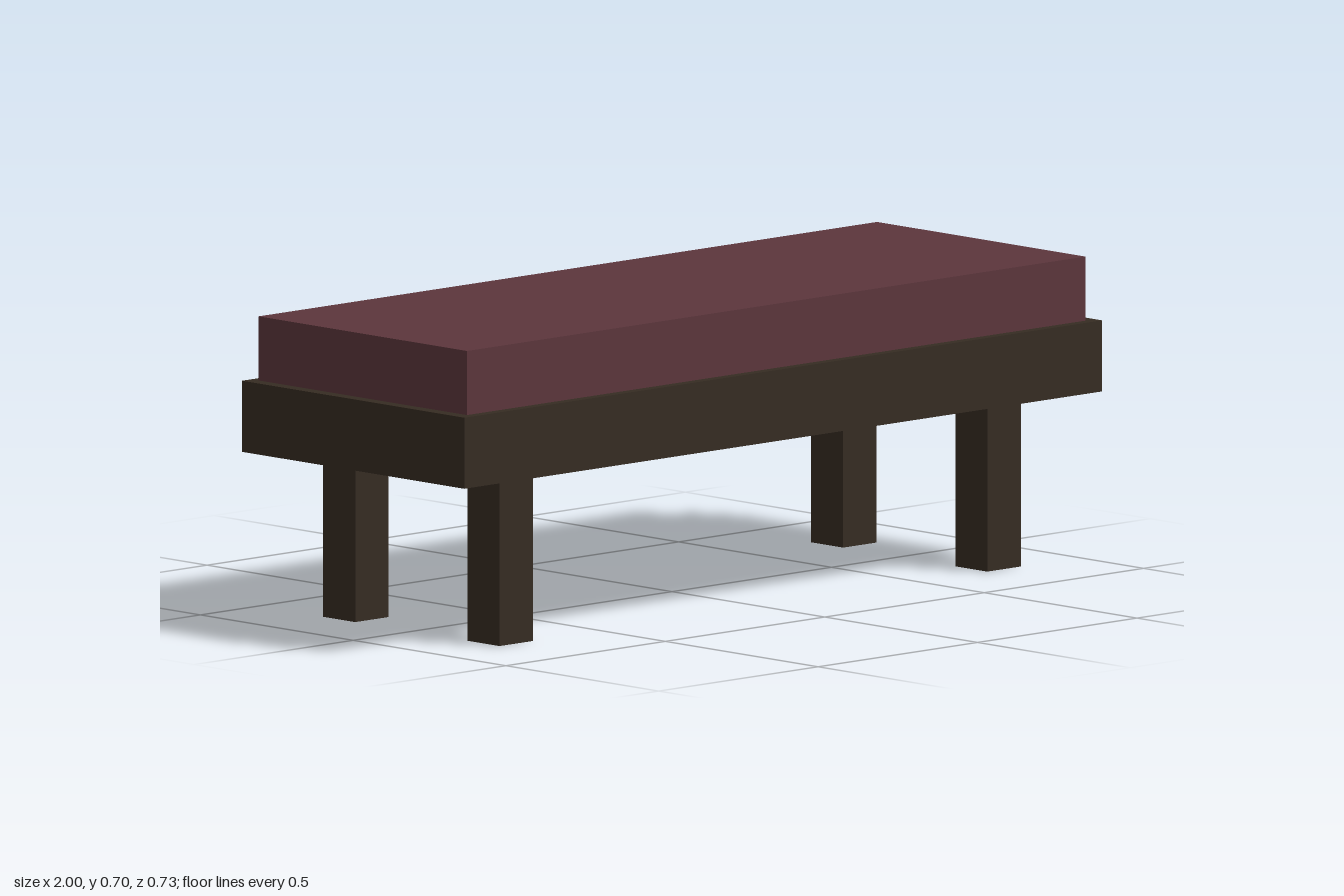
import * as THREE from 'three';

export function createModel() {
  const wood = new THREE.MeshStandardMaterial({ color: 0x362c22 });
  wood.name = 'dark wood';
  const fabric = new THREE.MeshStandardMaterial({ color: 0x5c363c });
  fabric.name = 'burgundy fabric';

  const bench = new THREE.Group();
  bench.name = 'bench';

  // Box resting on height y
  const addBox = (name, material, [w, h, d], [x, y, z]) => {
    const mesh = new THREE.Mesh(new THREE.BoxGeometry(w, h, d), material);
    mesh.name = name;
    mesh.position.set(x, y + h / 2, z);
    bench.add(mesh);
  };

  // Seat frame and the cushion set in from its edges
  addBox('seatFrame', wood, [2, 0.163, 0.728], [0, 0.39, 0]);
  addBox('cushion', fabric, [1.94, 0.147, 0.682], [0, 0.553, 0]);

  // Four square legs
  for (const [side, x] of [['Left', 0.765], ['Right', -0.765]]) {
    for (const [end, z] of [['front', 0.236], ['back', -0.236]]) {
      addBox(`${end}${side}Leg`, wood, [0.105, 0.39, 0.105], [x, 0, z]);
    }
  }

  return bench;
}
